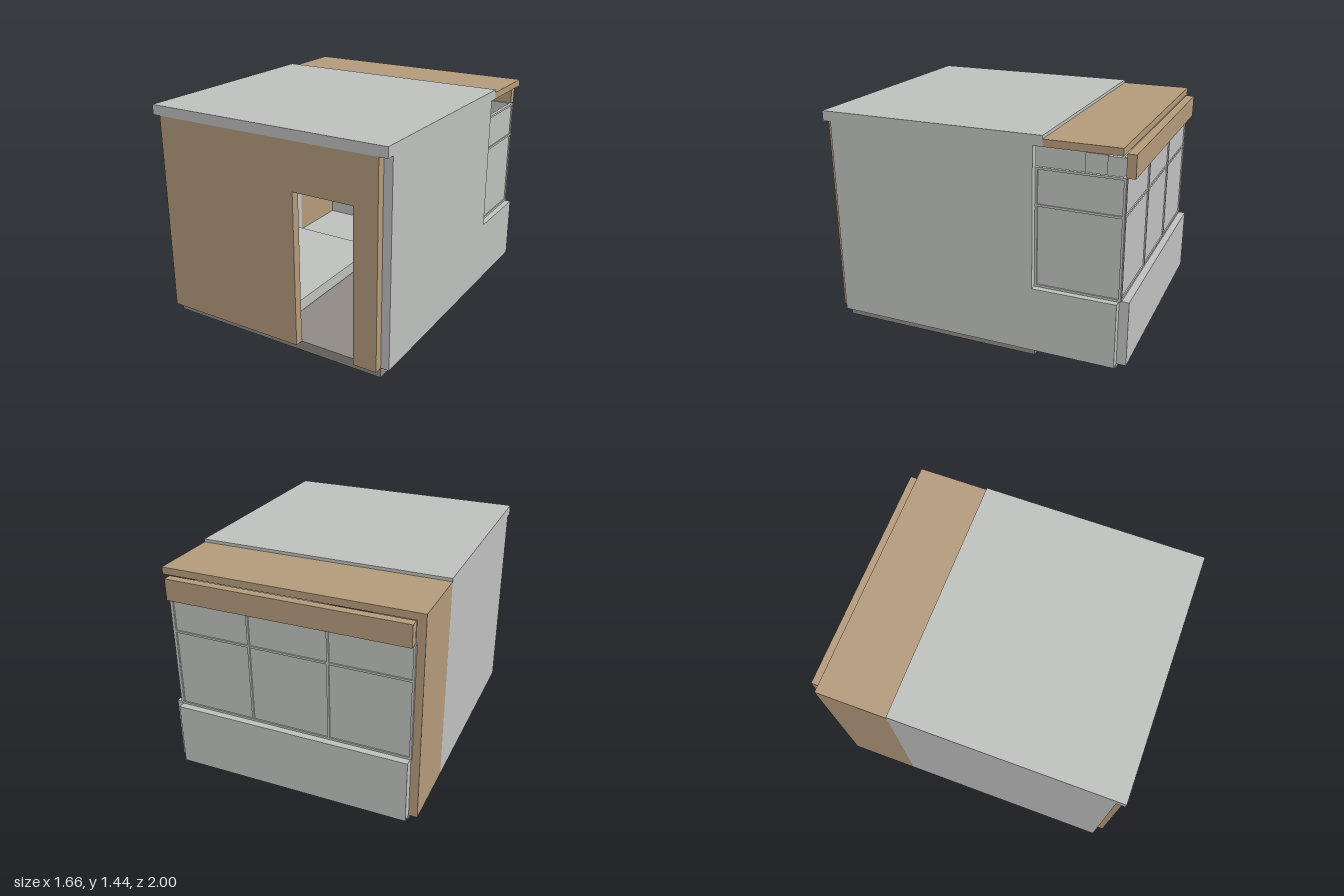
import * as THREE from 'three';

export function createModel() {
  const model = new THREE.Group();
  model.name = 'cabin';

  const material = (name, color) => {
    const m = new THREE.MeshStandardMaterial({ color });
    m.name = name;
    return m;
  };
  const grey = material('light grey', 0xbec0be);
  const tan = material('tan wood', 0xb39a7b);
  const dark = material('dark grey', 0x8f8a85);

  let target = model;
  const group = (name) => {
    target = new THREE.Group();
    target.name = name;
    model.add(target);
  };
  // Box given by its limits on each axis
  const box = (name, mat, [x0, x1], [y0, y1], [z0, z1]) => {
    const mesh = new THREE.Mesh(new THREE.BoxGeometry(x1 - x0, y1 - y0, z1 - z0), mat);
    mesh.position.set((x0 + x1) / 2, (y0 + y1) / 2, (z0 + z1) / 2);
    mesh.name = name;
    target.add(mesh);
  };

  // Floor in two levels
  group('floor');
  box('mainFloor', dark, [-0.775, 0.775], [0, 0.065], [-0.415, 0.945]);
  box('rearFloor', grey, [-0.775, 0.775], [0.035, 0.065], [-0.94, -0.415]);

  // Side walls; the right rear corner is glazed
  group('sideWalls');
  const wallY = [0.065, 1.375];
  box('leftWall', grey, [0.775, 0.83], wallY, [-0.415, 0.945]);
  box('rightWall', grey, [-0.83, -0.775], wallY, [-0.475, 0.945]);
  box('rightRearWall', tan, [-0.83, -0.775], wallY, [-0.94, -0.475]);

  // Front wall around the doorway
  group('frontWall');
  const frontZ = [0.945, 1];
  box('widePanel', tan, [-0.775, 0.215], wallY, frontZ);
  box('doorHeader', tan, [0.215, 0.62], [1.07, 1.375], frontZ);
  box('narrowPanel', tan, [0.62, 0.775], wallY, frontZ);

  // Roof and rear beam
  group('roof');
  box('mainRoof', grey, [-0.83, 0.83], [1.375, 1.44], [-0.475, 1]);
  box('rearRoof', tan, [-0.83, 0.83], [1.375, 1.42], [-0.94, -0.475]);
  box('rearBeam', tan, [-0.775, 0.775], [1.235, 1.375], [-1, -0.945]);

  // Low walls under the windows
  group('lowWalls');
  box('rearLowWall', grey, [-0.775, 0.775], [0.065, 0.485], [-1, -0.94]);
  box('sideLowWall', grey, [0.775, 0.83], [0.065, 0.485], [-0.94, -0.415]);

  // Windows: panes with raised bars
  group('windows');
  box('rearPane', grey, [-0.775, 0.775], [0.485, 1.24], [-0.947, -0.94]);
  box('sidePane', grey, [0.775, 0.782], [0.485, 1.24], [-0.94, -0.415]);
  for (const y of [0.485, 1.0, 1.226]) {
    box('rearRail', grey, [-0.78, 0.78], [y, y + 0.014], [-0.955, -0.932]);
    box('sideRail', grey, [0.767, 0.79], [y, y + 0.014], [-0.94, -0.415]);
  }
  for (const x of [-0.775, -0.258, 0.258, 0.775])
    box('rearMullion', grey, [x - 0.007, x + 0.007], [0.485, 1.24], [-0.956, -0.931]);
  for (const z of [-0.945, -0.423])
    box('sideMullion', grey, [0.766, 0.791], [0.485, 1.24], [z - 0.007, z + 0.007]);

  // Kitchen counter with dark recesses
  group('counter');
  box('counterTop', grey, [-0.1, 0.5], [0.525, 0.545], [-0.9, -0.5]);
  box('cabinet', grey, [-0.09, 0.5], [0.065, 0.525], [-0.9, -0.52]);
  for (const y of [0.17, 0.365])
    box('recess', dark, [-0.09, 0.5], [y, y + 0.058], [-0.52, -0.515]);
  for (const x of [0.24, 0.265])
    box('post', dark, [x, x + 0.008], [0.525, 0.59], [-0.6, -0.59]);
  box('tallCupboard', grey, [0.5, 0.6], [0.065, 1.045], [-0.9, -0.5]);
  box('wallCupboard', grey, [0.1, 0.285], [0.59, 1.2], [-0.8, -0.55]);

  // Open shelves above the counter
  group('shelves');
  for (let i = 0; i < 5; i++) {
    const y = 0.605 + i * 0.102;
    box('shelf', dark, [0.305, 0.498], [y, y + 0.014], [-0.9, -0.7]);
  }
  box('shelfSide', grey, [0.285, 0.305], [0.545, 1.2], [-0.9, -0.7]);

  // Low bed beside the front wall
  group('bed');
  box('mattress', grey, [-0.7, 0.02], [0.085, 0.165], [-0.3, 0.9]);
  box('bedFrame', grey, [-0.7, 0], [0.065, 0.085], [-0.28, 0.88]);

  // Chair seen in the doorway
  group('chair');
  box('seat', dark, [0.375, 0.565], [0.265, 0.285], [0.2, 0.39]);
  box('backrest', grey, [0.552, 0.566], [0.305, 0.495], [0.2, 0.39]);
  for (const z of [0.22, 0.37]) {
    for (const x of [0.405, 0.545]) {
      const leg = new THREE.Mesh(new THREE.CylinderGeometry(0.005, 0.005, 0.2, 8), grey);
      leg.name = 'chairLeg';
      leg.position.set(x, 0.165, z);
      target.add(leg);
    }
    box('backPost', grey, [0.556, 0.562], [0.28, 0.32], [z - 0.005, z + 0.005]);
  }

  return model;
}
